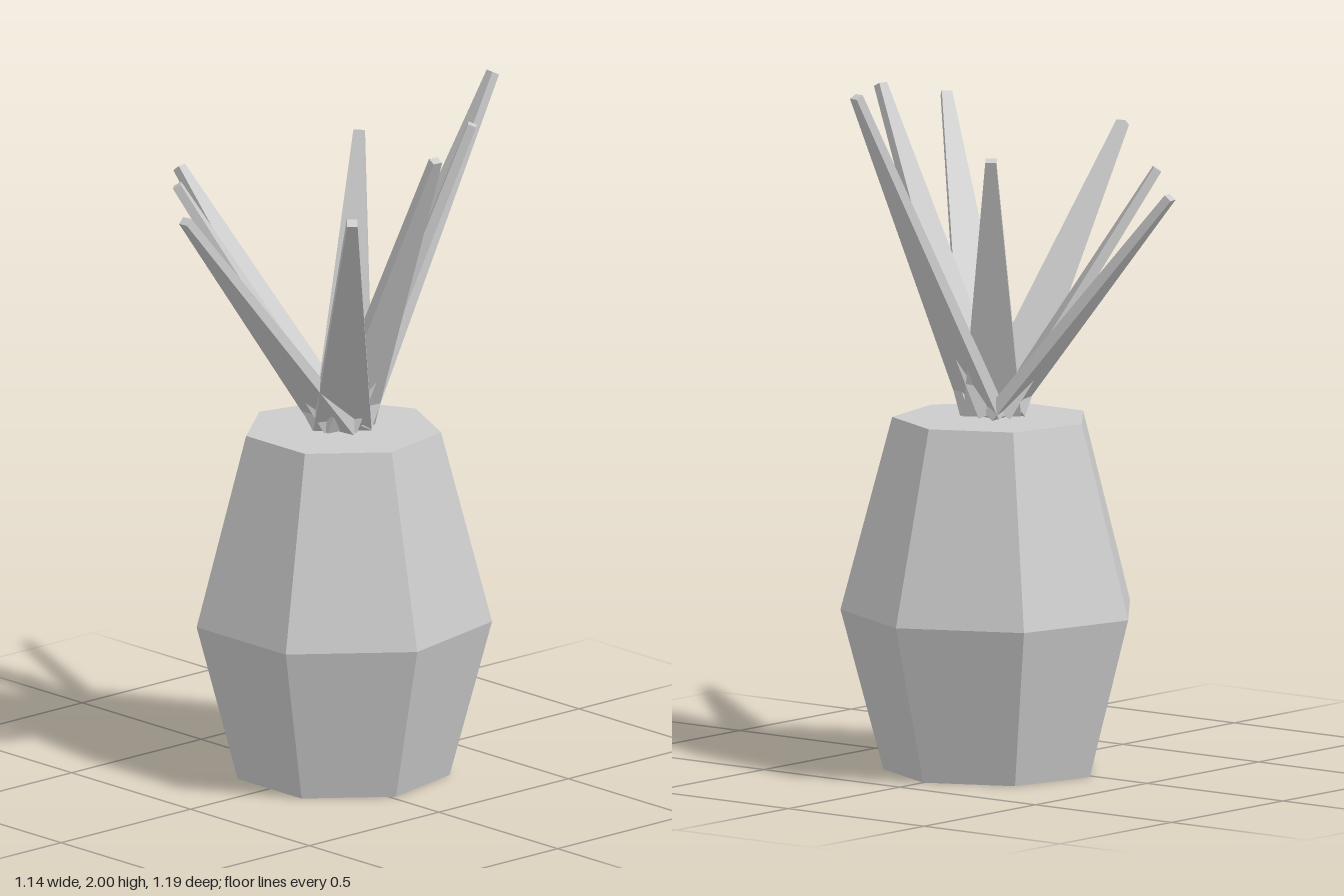
import * as THREE from 'three';

const CENTER_Z = -0.085;

const material = () => new THREE.MeshStandardMaterial({
  color: 0xcccccc, flatShading: true, side: THREE.DoubleSide,
});

// Tapered flat blade running from base to tip, with its width kept horizontal
function makeLeaf(base, tip) {
  const axis = tip.clone().sub(base);
  const geometry = new THREE.BoxGeometry(1, axis.length(), 1);
  const pos = geometry.attributes.position;
  for (let i = 0; i < pos.count; i++) {
    const top = pos.getY(i) > 0;
    pos.setX(i, pos.getX(i) * (top ? 0.03 : 0.165));
    pos.setZ(i, pos.getZ(i) * (top ? 0.025 : 0.035));
  }
  const up = axis.normalize();
  const across = new THREE.Vector3(up.z, 0, -up.x).normalize();
  const normal = new THREE.Vector3().crossVectors(across, up);
  geometry.applyMatrix4(new THREE.Matrix4().makeBasis(across, up, normal));
  const mid = base.clone().add(tip).multiplyScalar(0.5);
  geometry.translate(mid.x, mid.y, mid.z);
  geometry.computeVertexNormals();
  return new THREE.Mesh(geometry, material());
}

export function createModel() {
  const model = new THREE.Group();

  // Seven-sided body: open underneath, closed on top, one corner to the back
  const profile = [[0.31, 0], [0.432, 0.46], [0.285, 1.015], [0, 1.015]]
    .map(([r, y]) => new THREE.Vector2(r, y));
  const body = new THREE.Mesh(new THREE.LatheGeometry(profile, 7, Math.PI), material());
  body.name = 'body';
  body.position.z = CENTER_Z;
  model.add(body);

  // Crown of spiky leaves, each given by its tip
  const crown = new THREE.Group();
  crown.name = 'leafCrown';
  const tips = [
    [0.09, 1.99, -0.585], [0.265, 1.92, -0.345], [0.465, 1.92, -0.02], [0.555, 1.835, 0.385],
    [0.07, 1.775, 0.585], [-0.34, 1.725, 0.24], [-0.56, 1.69, 0.03], [-0.2, 1.805, -0.335],
  ];
  tips.forEach(([x, y, z], i) => {
    const outward = new THREE.Vector3(x, 0, z - CENTER_Z).setLength(0.03);
    const base = outward.add(new THREE.Vector3(0, 1.03, CENTER_Z));
    const leaf = makeLeaf(base, new THREE.Vector3(x, y, z));
    leaf.name = `leaf${i + 1}`;
    crown.add(leaf);
  });
  model.add(crown);

  return model;
}
